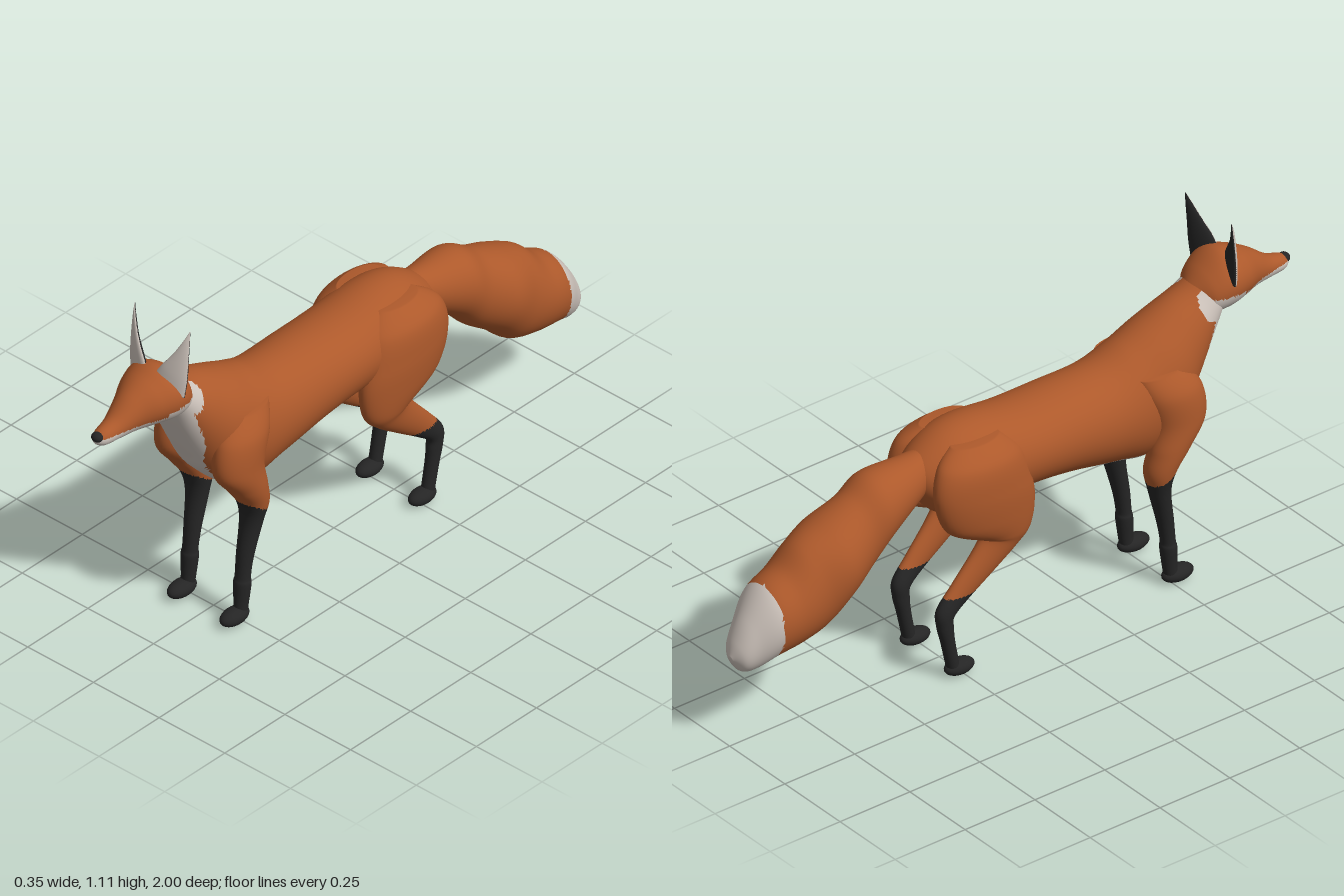
import * as THREE from 'three';

const make = (name, color) => {
  const m = new THREE.MeshStandardMaterial({ color });
  m.name = name;
  return m;
};

const AROUND = 48, STEPS = 9;

// Smooth blend through four values
function spline(a, b, c, d, t) {
  return 0.5 * (2 * b + (c - a) * t + (2 * a - 5 * b + 4 * c - d) * t * t + (3 * b - a - 3 * c + d) * t * t * t);
}

// Skin a row of elliptical sections: [centre x, y, z, half axis u x, y, z, half axis v x, y, z].
// paint(point, angle) picks the material index of each face.
function loft(name, sections, materials, paint = () => 0) {
  const pos = [], angles = [], n = sections.length;
  const rings = (n - 1) * STEPS + 1;
  for (let r = 0; r < rings; r++) {
    const i = Math.min(Math.floor(r / STEPS), n - 2), t = r / STEPS - i;
    const at = (k) => sections[Math.max(0, Math.min(n - 1, k))];
    const s = sections[0].map((_, k) => spline(at(i - 1)[k], at(i)[k], at(i + 1)[k], at(i + 2)[k], t));
    for (let j = 0; j < AROUND; j++) {
      const a = (j / AROUND) * Math.PI * 2, c = Math.cos(a), w = Math.sin(a);
      for (let k = 0; k < 3; k++) pos.push(s[k] + s[3 + k] * w + s[6 + k] * c);
      angles.push(a);
    }
  }
  pos.push(...sections[0].slice(0, 3), ...sections[n - 1].slice(0, 3));
  angles.push(0, 0);

  const faces = [], first = rings * AROUND;
  for (let j = 0; j < AROUND; j++) {
    const k = (j + 1) % AROUND, e = (rings - 1) * AROUND;
    for (let r = 0; r < rings - 1; r++) {
      const o = r * AROUND;
      faces.push([o + j, o + k, o + AROUND + j], [o + k, o + AROUND + k, o + AROUND + j]);
    }
    faces.push([first, k, j], [first + 1, e + j, e + k]);
  }

  // Keep faces outward on either side and sort them by colour
  const vert = (i) => new THREE.Vector3().fromArray(pos, i * 3);
  const buckets = materials.map(() => []);
  let volume = 0;
  for (const f of faces) {
    const [a, b, c] = f.map(vert);
    volume += a.dot(b.clone().cross(c));
    const mid = a.add(b).add(c).divideScalar(3);
    buckets[paint(mid, angles[f[0]])].push(f);
  }
  const geo = new THREE.BufferGeometry(), index = [];
  buckets.forEach((list, m) => {
    geo.addGroup(index.length, list.length * 3, m);
    for (const [a, b, c] of list) index.push(...(volume > 0 ? [a, b, c] : [a, c, b]));
  });
  geo.setAttribute('position', new THREE.Float32BufferAttribute(pos, 3));
  geo.setIndex(index);
  geo.computeVertexNormals();
  const mesh = new THREE.Mesh(geo, materials);
  mesh.name = name;
  return mesh;
}

// Section from two side-on points (z, y) and (z, y), a half width and an x offset
const slice = (side = 1) => ([za, ya, zb, yb, w, x = 0]) => [
  x * side, (ya + yb) / 2, (za + zb) / 2, w, 0, 0, 0, (ya - yb) / 2, (za - zb) / 2,
];

export function createModel() {
  const fur = make('russet fur', 0xad592b);
  const pale = make('pale fur', 0xcdc3bb);
  const dark = make('black fur', 0x252525);
  const fox = new THREE.Group();
  fox.name = 'fox';

  const ball = (name, x, y, z, rx, ry, rz) => {
    const m = new THREE.Mesh(new THREE.SphereGeometry(1, 24, 16), dark);
    m.name = name;
    m.position.set(x, y, z);
    m.scale.set(rx, ry, rz);
    fox.add(m);
  };

  // Torso and neck, with pale belly, chest and neck patches
  fox.add(loft('body', [
    [-0.38, 0.66, -0.36, 0.60, 0.03], [-0.34, 0.71, -0.33, 0.56, 0.075],
    [-0.25, 0.76, -0.27, 0.50, 0.115], [-0.15, 0.77, -0.15, 0.475, 0.135],
    [0, 0.75, 0, 0.49, 0.14], [0.15, 0.75, 0.15, 0.475, 0.14],
    [0.30, 0.755, 0.32, 0.44, 0.14], [0.40, 0.79, 0.46, 0.42, 0.14],
    [0.48, 0.825, 0.58, 0.52, 0.13], [0.56, 0.86, 0.63, 0.60, 0.11],
    [0.63, 0.885, 0.69, 0.72, 0.09], [0.68, 0.91, 0.72, 0.79, 0.08],
    [0.72, 0.93, 0.73, 0.82, 0.06],
  ].map(slice()), [fur, pale], (p, a) => {
    const x = Math.abs(p.x), low = -Math.cos(a);
    const belly = p.z > -0.02 && p.z < 0.46 && p.y < 0.497 && x < 0.085;
    const bib = 0.055 + 0.033 * THREE.MathUtils.smoothstep(p.y, 0.54, 0.7);
    const chest = p.z >= 0.44 && low > 0.25 && x < bib;
    const patch = x > 0.045 && Math.hypot(p.z - 0.675, p.y - 0.845) < 0.047;
    return belly || chest || patch ? 1 : 0;
  }));

  // Head with pale jaw and cheeks
  fox.add(loft('head', [
    [0.64, 0.885, 0.66, 0.81, 0.045], [0.68, 0.93, 0.68, 0.79, 0.083],
    [0.74, 0.972, 0.74, 0.79, 0.10], [0.80, 0.957, 0.80, 0.80, 0.085],
    [0.86, 0.925, 0.86, 0.805, 0.055], [0.92, 0.88, 0.92, 0.808, 0.036],
    [0.97, 0.862, 0.97, 0.812, 0.026], [0.992, 0.85, 0.992, 0.825, 0.012],
  ].map(slice()), [fur, pale], (p) => (p.y < (p.z < 0.78 ? 0.862 : 0.843) ? 1 : 0)));
  ball('nose', 0, 0.845, 0.983, 0.019, 0.015, 0.017);

  // Tail with pale tip
  fox.add(loft('tail', [
    [-0.30, 0.72, -0.30, 0.60, 0.05], [-0.38, 0.715, -0.36, 0.565, 0.07],
    [-0.50, 0.71, -0.46, 0.50, 0.098], [-0.58, 0.665, -0.53, 0.43, 0.10],
    [-0.68, 0.62, -0.61, 0.37, 0.122], [-0.76, 0.58, -0.69, 0.30, 0.113],
    [-0.82, 0.525, -0.78, 0.275, 0.11], [-0.89, 0.485, -0.87, 0.262, 0.10],
    [-0.95, 0.41, -0.93, 0.24, 0.068], [-0.985, 0.345, -0.97, 0.245, 0.045],
    [-1, 0.30, -0.995, 0.28, 0.01],
  ].map(slice()), [fur, pale], (p) => (p.z < -0.88 ? 1 : 0)));

  for (const side of [1, -1]) {
    const word = side > 0 ? 'left' : 'right';

    // Ears: pale in front, black behind
    const ear = ([x, y, z, ux, uy, uz, v]) => [x * side, y, z, ux * side, uy, uz, 0, 0, v];
    fox.add(loft(word + 'Ear', [
      [0.060, 0.930, 0.745, 0.040, -0.035, -0.014, 0.016],
      [0.073, 0.975, 0.740, 0.034, -0.022, -0.013, 0.014],
      [0.087, 1.025, 0.732, 0.021, -0.011, -0.009, 0.010],
      [0.099, 1.080, 0.721, 0.008, -0.004, -0.004, 0.006],
      [0.105, 1.115, 0.713, 0.001, -0.001, 0, 0.001],
    ].map(ear), [dark, pale], (p, a) => (Math.cos(a) > 0.1 ? 1 : 0)));

    // Front leg: shoulder, straight shin and black stocking
    fox.add(loft(word + 'FrontLeg', [
      [0.54, 0.72, 0.38, 0.72, 0.04, 0.09], [0.595, 0.65, 0.40, 0.65, 0.06, 0.105],
      [0.605, 0.55, 0.43, 0.55, 0.06, 0.11], [0.55, 0.47, 0.42, 0.47, 0.055, 0.112],
      [0.502, 0.40, 0.408, 0.40, 0.049, 0.107], [0.488, 0.33, 0.424, 0.33, 0.037, 0.103],
      [0.503, 0.22, 0.453, 0.22, 0.027, 0.10], [0.51, 0.15, 0.466, 0.15, 0.024, 0.10],
      [0.515, 0.125, 0.465, 0.125, 0.027, 0.10], [0.517, 0.06, 0.473, 0.06, 0.022, 0.10],
      [0.52, 0.02, 0.48, 0.02, 0.02, 0.10],
    ].map(slice(side)), [fur, dark], (p) => (p.y < 0.385 + (p.z - 0.455) * 0.6 ? 1 : 0)));
    ball(word + 'FrontPaw', 0.1 * side, 0.027, 0.523, 0.031, 0.025, 0.053);

    // Hind leg: thigh, slanting shank, hock and black stocking
    fox.add(loft(word + 'HindLeg', [
      [-0.10, 0.74, -0.26, 0.74, 0.04, 0.07], [-0.04, 0.68, -0.325, 0.69, 0.068, 0.095],
      [-0.01, 0.58, -0.345, 0.60, 0.07, 0.105], [0, 0.50, -0.305, 0.49, 0.062, 0.107],
      [-0.015, 0.42, -0.20, 0.43, 0.048, 0.107], [-0.06, 0.37, -0.185, 0.425, 0.038, 0.107],
      [-0.14, 0.31, -0.215, 0.38, 0.031, 0.105], [-0.235, 0.242, -0.285, 0.30, 0.024, 0.102],
      [-0.28, 0.205, -0.335, 0.235, 0.025, 0.10], [-0.282, 0.17, -0.335, 0.18, 0.023, 0.10],
      [-0.277, 0.12, -0.32, 0.12, 0.021, 0.10], [-0.26, 0.03, -0.30, 0.03, 0.02, 0.10],
    ].map(slice(side)), [fur, dark], (p) => (p.y < 0.27 ? 1 : 0)));
    ball(word + 'HindPaw', 0.1 * side, 0.026, -0.258, 0.03, 0.024, 0.05);
  }
  return fox;
}
